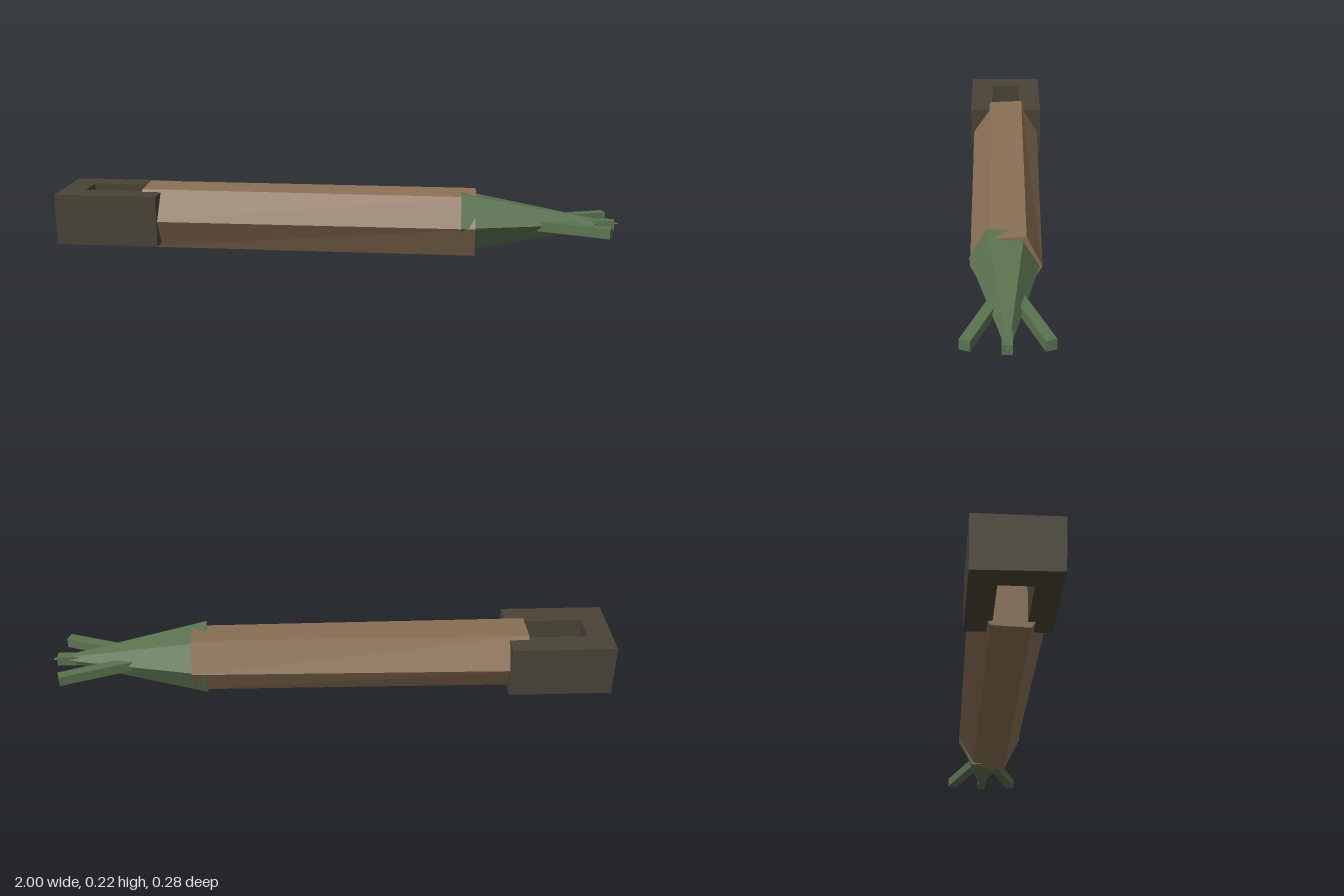
import * as THREE from 'three';

// Closed solid lofted along x; rings hold [z, y] points, counter-clockwise seen from +x
function loft(sections) {
  const pos = [];
  const tri = (...pts) => pts.forEach((p) => pos.push(...p));
  const rings = sections.map(([x, ring]) => ring.map(([z, y]) => [x, y, z]));
  const n = rings[0].length;
  for (let s = 0; s + 1 < rings.length; s++) {
    const a = rings[s], b = rings[s + 1];
    for (let i = 0; i < n; i++) {
      const j = (i + 1) % n;
      tri(a[j], b[j], b[i]);
      tri(a[j], b[i], a[i]);
    }
  }
  const first = rings[0], last = rings[rings.length - 1];
  for (let i = 1; i + 1 < n; i++) {
    tri(last[0], last[i], last[i + 1]);
    tri(first[0], first[i + 1], first[i]);
  }
  const g = new THREE.BufferGeometry();
  g.setAttribute('position', new THREE.Float32BufferAttribute(pos, 3));
  g.computeVertexNormals();
  return g;
}

export function createModel() {
  const model = new THREE.Group();
  model.name = 'hexagonalSpike';
  const material = (name, color) => {
    const m = new THREE.MeshStandardMaterial({ color, flatShading: true });
    m.name = name;
    return m;
  };
  const wood = material('brown wood', 0x8a7055);
  const green = material('moss green', 0x5b7350);
  const dark = material('dark bracket', 0x4a4437);
  const add = (name, geometry, mat) => {
    const mesh = new THREE.Mesh(geometry, mat);
    mesh.name = name;
    model.add(mesh);
    return mesh;
  };

  // Slightly uneven hexagonal shaft, a little wider at the bracket end
  add('shaft', loft([
    [-0.7, [[-0.064, 0.22], [0.06, 0.215], [0.13, 0.112], [0.065, 0.002], [-0.06, 0.007], [-0.128, 0.112]]],
    [0.495, [[-0.062, 0.22], [0.054, 0.212], [0.12, 0.112], [0.064, 0.002], [-0.056, 0.01], [-0.114, 0.112]]],
  ]), wood);

  // Six-sided pointed head, skewed the other way
  const headRing = [[-0.056, 0.211], [0.066, 0.224], [0.125, 0.114], [0.057, 0.015], [-0.062, 0.001], [-0.116, 0.113]];
  const tipRing = headRing.map(([z, y]) => [z * 0.02, 0.116 + (y - 0.113) * 0.02]);
  add('head', loft([[0.445, headRing], [0.995, tipRing]]), green);

  // Two splayed prongs, mirrored front to back
  const angle = 0.35, length = 0.36;
  for (const side of [1, -1]) {
    const prong = add(side > 0 ? 'frontProng' : 'backProng',
      new THREE.BoxGeometry(length, 0.035, 0.036), green);
    prong.rotation.y = -side * angle;
    prong.position.set(
      0.957 - Math.cos(angle) * length / 2,
      0.113,
      side * (0.125 - Math.sin(angle) * length / 2));
  }

  // Short straight prong around the point
  add('middleProng', new THREE.BoxGeometry(0.25, 0.034, 0.032), green).position.set(0.855, 0.113, 0.002);

  // Forked bracket gripping the end of the shaft
  const fork = new THREE.Shape([
    [-1, -0.14], [-0.632, -0.14], [-0.632, -0.054], [-0.912, -0.054],
    [-0.912, 0.054], [-0.632, 0.054], [-0.632, 0.14], [-1, 0.14],
  ].map(([x, y]) => new THREE.Vector2(x, y)));
  const bracket = new THREE.ExtrudeGeometry(fork, { depth: 0.184, bevelEnabled: false });
  bracket.rotateX(-Math.PI / 2).translate(0, 0.022, 0);
  // Lean the front face in slightly at the bottom
  const p = bracket.attributes.position;
  for (let i = 0; i < p.count; i++) {
    if (p.getZ(i) > 0.1) p.setZ(i, p.getY(i) > 0.1 ? 0.142 : 0.136);
    else if (p.getZ(i) < -0.1 && p.getY(i) < 0.1) p.setY(i, 0.018);
  }
  bracket.computeVertexNormals();
  add('bracket', bracket, dark);

  return model;
}
